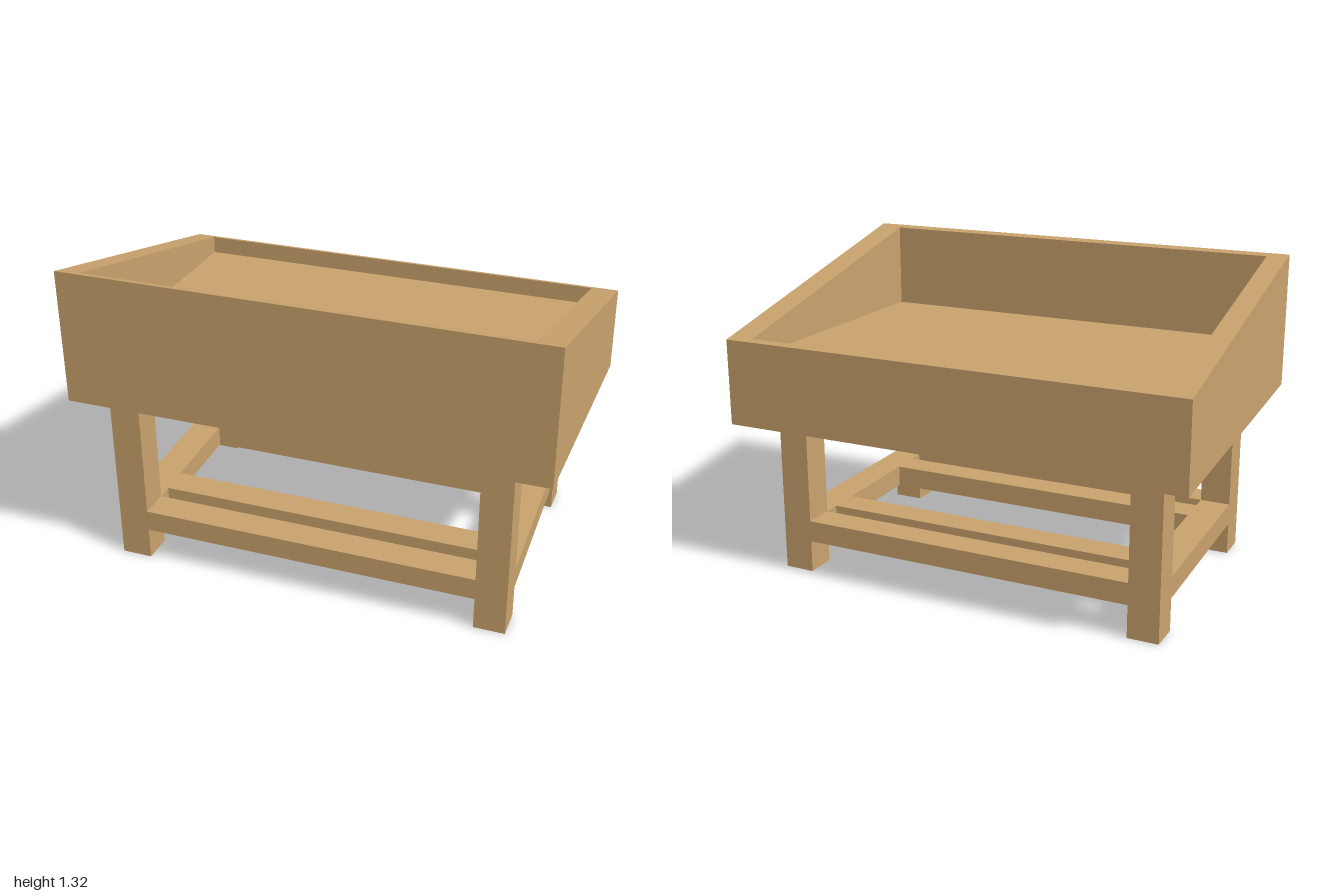
import * as THREE from 'three';

const wood = new THREE.MeshStandardMaterial({ color: 0xc9a26d });
wood.name = 'wood';

// Sloping rim and underside heights of the tray at depth z
const rimY = z => 1.166 + 0.242 * z;
const underY = z => 0.699 + 0.0794 * z;
const floorY = 0.945;

// Move every vertex of a geometry by a rule
function bend(geometry, rule) {
  const p = geometry.attributes.position;
  const v = new THREE.Vector3();
  for (let i = 0; i < p.count; i++) {
    rule(v.fromBufferAttribute(p, i));
    p.setXYZ(i, v.x, v.y, v.z);
  }
  geometry.computeVertexNormals();
  return geometry;
}

// Box given by its limits
function block(x0, x1, y0, y1, z0, z1) {
  return new THREE.BoxGeometry(x1 - x0, y1 - y0, z1 - z0)
    .translate((x0 + x1) / 2, (y0 + y1) / 2, (z0 + z1) / 2);
}

export function createModel() {
  const model = new THREE.Group();
  const add = (name, geometry) => {
    const mesh = new THREE.Mesh(geometry, wood);
    mesh.name = name;
    model.add(mesh);
  };
  // Counter-clockwise rectangle on the ground plan
  const rect = (C, x0, x1, z0, z1) => new C([[x0, z1], [x1, z1], [x1, z0], [x0, z0]]
    .map(([x, z]) => new THREE.Vector2(x, -z)));

  // Tray walls: a rectangular ring with sloping top and bottom
  const ring = rect(THREE.Shape, -1, 1, -0.63, 0.63);
  ring.holes.push(rect(THREE.Path, -0.91, 0.89, -0.6, 0.595));
  const walls = new THREE.ExtrudeGeometry(ring, { depth: 1, bevelEnabled: false });
  walls.rotateX(-Math.PI / 2);
  add('trayWalls', bend(walls, v => { v.y = v.y > 0.5 ? rimY(v.z) : underY(v.z); }));

  // Tray floor: level on top, sloping underneath
  add('trayFloor', bend(block(-0.91, 0.89, 0, 1, -0.6, 0.595),
    v => { v.y = v.y > 0.5 ? floorY : underY(v.z); }));

  // Legs, run slightly into the tray bottom
  add('frontRightLeg', block(-0.85, -0.72, 0, 0.76, 0.435, 0.565));
  add('frontLeftLeg', block(0.717, 0.847, 0, 0.76, 0.435, 0.565));
  add('backRightLeg', block(-0.875, -0.745, 0, 0.69, -0.532, -0.402));
  add('backLeftLeg', block(0.697, 0.827, 0, 0.69, -0.532, -0.402));

  // Side rails, slightly skewed to follow the legs
  const low = 0.138, high = 0.23;
  const skew = (x0, x1, shift) => bend(block(x0, x1, low, high, -0.402, 0.435),
    v => { if (v.z < 0) v.x += shift; });
  add('rightRail', skew(-0.85, -0.72, -0.025));
  add('leftRail', skew(0.717, 0.847, -0.02));

  // Long rails: outer pair between the legs, inner pair between the side rails
  add('frontRail', block(-0.72, 0.717, low, high, 0.435, 0.565));
  add('backRail', block(-0.745, 0.697, low, high, -0.532, -0.402));
  add('innerFrontRail', block(-0.725, 0.717, low, high, 0.235, 0.365));
  add('innerBackRail', block(-0.74, 0.707, low, high, -0.33, -0.2));

  return model;
}
